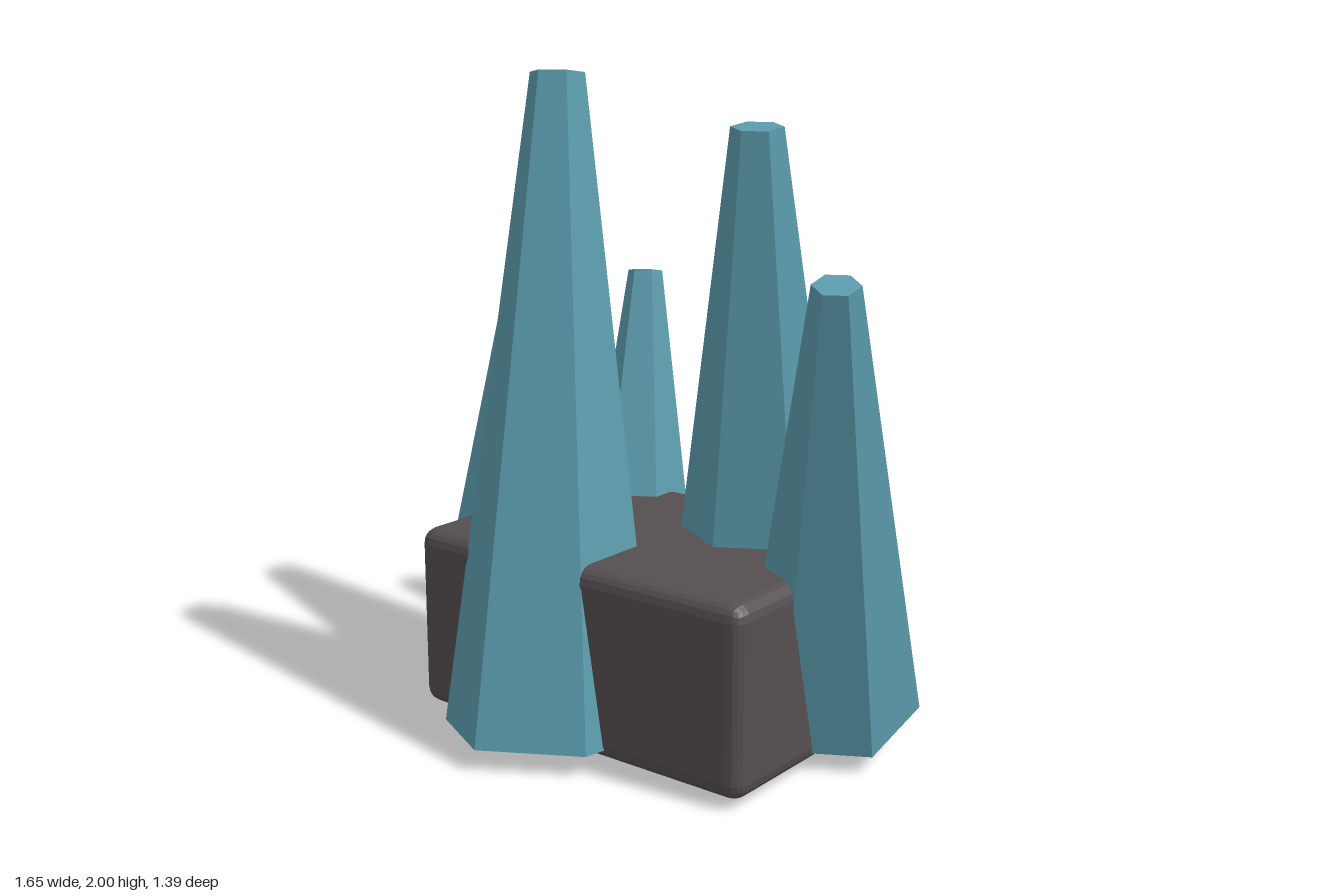
import * as THREE from 'three';
import { RoundedBoxGeometry } from 'three/addons/geometries/RoundedBoxGeometry.js';

export function createModel() {
  const model = new THREE.Group();
  model.name = 'crystalCluster';

  const rockMaterial = new THREE.MeshStandardMaterial({ color: 0x554e52, flatShading: true });
  rockMaterial.name = 'dark rock';
  const crystalMaterial = new THREE.MeshStandardMaterial({ color: 0x5b9bac, flatShading: true });
  crystalMaterial.name = 'teal crystal';

  // Rock block with softened edges
  const rock = new THREE.Mesh(new RoundedBoxGeometry(1.24, 0.575, 0.865, 2, 0.05), rockMaterial);
  rock.name = 'rockBase';
  rock.position.set(-0.02, 0.312, 0.018);
  model.add(rock);

  // Leaning six-sided crystal, tapering from its base centre to its tip centre
  const up = new THREE.Vector3(0, 1, 0);
  function addCrystal(name, base, tip, baseRadius, tipRadius) {
    const a = new THREE.Vector3(...base);
    const b = new THREE.Vector3(...tip);
    const axis = b.clone().sub(a);
    const crystal = new THREE.Mesh(
      new THREE.CylinderGeometry(tipRadius, baseRadius, axis.length(), 6),
      crystalMaterial
    );
    crystal.name = name;
    crystal.position.copy(a).add(b).multiplyScalar(0.5);
    crystal.quaternion.setFromUnitVectors(up, axis.normalize());
    model.add(crystal);
  }

  addCrystal('frontCrystal', [-0.17, 0.035, 0.365], [-0.284, 1.995, 0.165], 0.33, 0.083);
  addCrystal('middleCrystal', [0.17, 0.1, -0.26], [0.293, 1.847, -0.04], 0.31, 0.078);
  addCrystal('backCrystal', [-0.025, 0.15, -0.45], [-0.012, 1.39, -0.425], 0.248, 0.062);
  addCrystal('leftCrystal', [0.525, 0.13, -0.13], [0.765, 1.47, 0.265], 0.266, 0.067);
  addCrystal('backRightCrystal', [-0.36, 0.08, -0.275], [-0.495, 1.315, -0.505], 0.23, 0.058);
  addCrystal('rightCrystal', [-0.53, 0.14, 0.13], [-0.765, 1.607, -0.302], 0.28, 0.07);

  return model;
}
